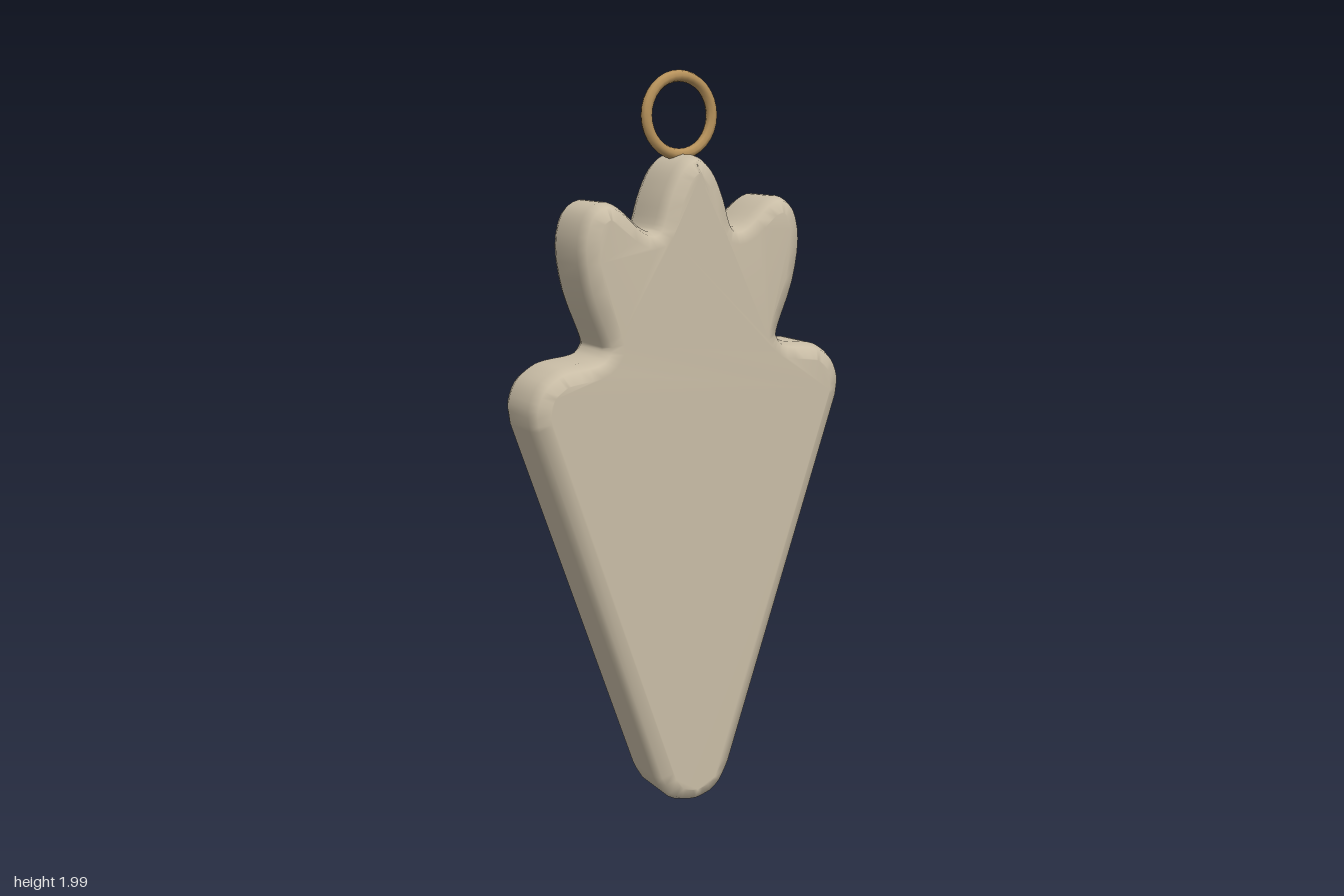
import * as THREE from 'three';
import { mergeVertices } from 'three/addons/utils/BufferGeometryUtils.js';

const bodyMaterial = new THREE.MeshStandardMaterial({ color: 0xc9bda6 });
bodyMaterial.name = 'pale stone';
const ringMaterial = new THREE.MeshStandardMaterial({ color: 0xb8935c });
ringMaterial.name = 'warm brass';

// Half outlines of the pendant: rounded tip, then shoulder and leaves up to the top
const TIP = [[0, 0.01], [0.05, 0.02], [0.09, 0.05], [0.12, 0.105]];
const CROWN = [
  [0.472, 1.125], [0.476, 1.18], [0.453, 1.235], [0.41, 1.268], [0.37, 1.28],
  [0.296, 1.288], [0.268, 1.308], [0.27, 1.335], [0.315, 1.45], [0.333, 1.566],
  [0.312, 1.65], [0.265, 1.68], [0.217, 1.665], [0.16, 1.617], [0.127, 1.603],
  [0.11, 1.62], [0.09, 1.683], [0.062, 1.743], [0.032, 1.777], [0, 1.79],
];

function smooth(points, divisions) {
  const curve = new THREE.SplineCurve(points.map(([x, y]) => new THREE.Vector2(x, y)));
  return curve.getPoints(divisions);
}

function createBody() {
  const right = [...smooth(TIP, 6), ...smooth(CROWN, 57)];
  const left = right.slice(1, -1).reverse().map((p) => new THREE.Vector2(-p.x, p.y));
  const bevel = 0.042;
  const depth = 0.195;
  const extruded = new THREE.ExtrudeGeometry(new THREE.Shape([...right, ...left]), {
    depth: depth - 2 * bevel,
    bevelEnabled: true,
    bevelThickness: bevel,
    bevelSize: bevel,
    bevelOffset: -bevel,
    bevelSegments: 2,
  });
  extruded.translate(0, 0, bevel - depth / 2);
  // Weld the faces so the whole body shades softly
  extruded.deleteAttribute('uv');
  extruded.deleteAttribute('normal');
  const geometry = mergeVertices(extruded, 1e-4);
  geometry.clearGroups();
  geometry.computeVertexNormals();
  const mesh = new THREE.Mesh(geometry, bodyMaterial);
  mesh.name = 'carrotBody';
  return mesh;
}

function createRing() {
  const mesh = new THREE.Mesh(new THREE.TorusGeometry(0.098, 0.015, 8, 32), ringMaterial);
  mesh.position.y = 1.887;
  mesh.name = 'hangingRing';
  return mesh;
}

export function createModel() {
  const model = new THREE.Group();
  model.name = 'carrotPendant';
  model.add(createBody(), createRing());
  return model;
}
